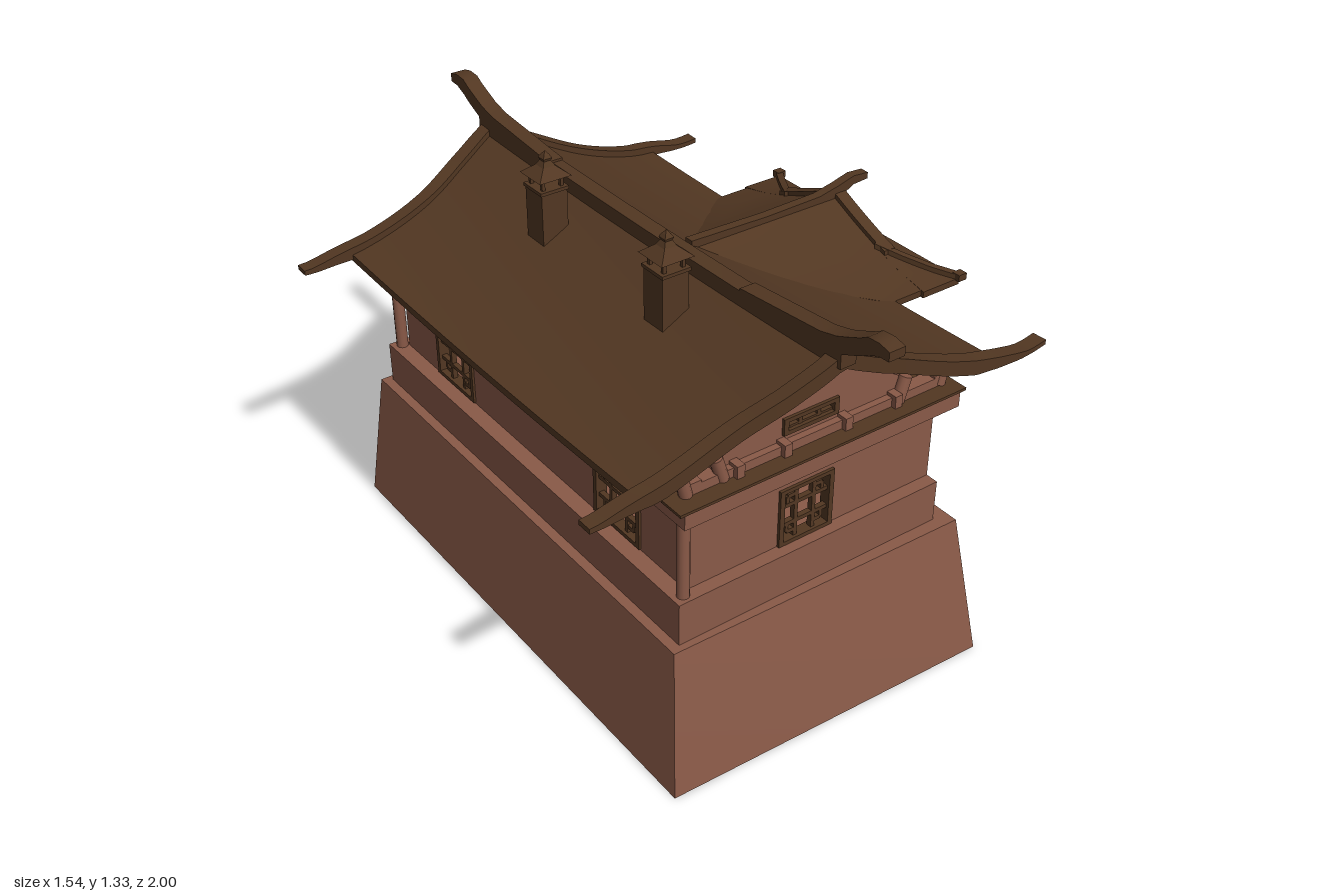
import * as THREE from 'three';
import { toCreasedNormals } from 'three/addons/utils/BufferGeometryUtils.js';

const plaster = new THREE.MeshStandardMaterial({ color: 0x8a5a48, side: THREE.DoubleSide });
plaster.name = 'clay brown';
const timber = new THREE.MeshStandardMaterial({ color: 0x523722, side: THREE.DoubleSide });
timber.name = 'dark roof brown';

const RIDGE = -0.07;
const lerp = THREE.MathUtils.lerp;

export function createModel() {
  const root = new THREE.Group();
  root.name = 'hall';

  function add(name, geo, mat, parent = root) {
    const m = new THREE.Mesh(geo, mat);
    m.name = name;
    parent.add(m);
    return m;
  }
  // Box given by its limits
  function block(name, x0, x1, y0, y1, z0, z1, mat, parent) {
    const m = add(name, new THREE.BoxGeometry(x1 - x0, y1 - y0, z1 - z0), mat, parent);
    m.position.set((x0 + x1) / 2, (y0 + y1) / 2, (z0 + z1) / 2);
    return m;
  }
  function post(name, x, z, y0, y1, r, mat) {
    const m = add(name, new THREE.CylinderGeometry(r, r, y1 - y0, 12), mat);
    m.position.set(x, (y0 + y1) / 2, z);
    return m;
  }
  // Skin over a list of equal rings, capped at both ends when asked
  function loft(rings, caps = true) {
    const n = rings[0].length, idx = [];
    for (let i = 0; i < rings.length - 1; i++) for (let j = 0; j < n; j++) {
      const a = i * n + j, b = i * n + (j + 1) % n;
      idx.push(a, b, a + n, b, b + n, a + n);
    }
    if (caps) for (const s of [0, (rings.length - 1) * n]) {
      for (let j = 0; j < n / 2 - 1; j++) {
        const a = s + j, b = s + j + 1, c = s + n - 2 - j, d = s + n - 1 - j;
        if (s) idx.push(a, b, d, b, c, d); else idx.push(a, d, b, b, d, c);
      }
    }
    const g = new THREE.BufferGeometry();
    g.setAttribute('position', new THREE.Float32BufferAttribute(rings.flat(2), 3));
    g.setIndex(idx);
    return toCreasedNormals(g, 0.5);
  }
  // Upright rectangular section carried along a path of [x, y, z, height]
  function sweep(path, w) {
    return loft(path.map(([x, y, z, h], i) => {
      const p = path[Math.max(i - 1, 0)], q = path[Math.min(i + 1, path.length - 1)];
      const dx = q[0] - p[0], dz = q[2] - p[2], l = Math.hypot(dx, dz) || 1;
      const sx = -dz / l * w / 2, sz = dx / l * w / 2;
      return [[x + sx, y + h / 2, z + sz], [x - sx, y + h / 2, z - sz],
        [x - sx, y - h / 2, z - sz], [x + sx, y - h / 2, z + sz]];
    }));
  }
  // Thin upright wall with rectangular openings [x, y, w, h]
  function pierced(outline, holes, depth = 0.02) {
    const s = new THREE.Shape(outline.map(p => new THREE.Vector2(...p)));
    for (const [x, y, w, h] of holes) {
      s.holes.push(new THREE.Path([[-1, -1], [-1, 1], [1, 1], [1, -1]]
        .map(([a, b]) => new THREE.Vector2(x + a * w / 2, y + b * h / 2))));
    }
    return new THREE.ExtrudeGeometry(s, { depth, bevelEnabled: false }).translate(0, 0, -depth / 2);
  }
  const rect = (a, b, c, d) => [[a, c], [b, c], [b, d], [a, d]];

  // Battered stone base with porch spur, open underneath
  const plan = (x0, x1, x2, z0, z1, zp, y) => [[x0, y, z0], [x1, y, z1], [x1, y, zp], [x2, y, zp],
    [x2, y, -zp], [x1, y, -zp], [x1, y, -z1], [x0, y, -z0]];
  add('stoneBase', loft([plan(-0.58, 0.47, 0.67, 0.84, 0.88, 0.26, 0),
    plan(-0.54, 0.42, 0.615, 0.78, 0.8, 0.235, 0.44)], false), plaster);
  const top = new THREE.Shape(plan(-0.54, 0.42, 0.615, 0.78, 0.8, 0.235, 0).map(p => new THREE.Vector2(p[0], p[2])));
  add('baseTop', new THREE.ShapeGeometry(top).rotateX(-Math.PI / 2).translate(0, 0.44, 0), plaster);
  block('plinth', -0.51, 0.37, 0.44, 0.57, -0.76, 0.76, plaster);

  // Lattice window centred on its own origin, facing z
  function lattice(name, w, h, n) {
    const g = new THREE.Group();
    g.name = name;
    add('frame', pierced(rect(-w / 2, w / 2, -h / 2, h / 2), [[0, 0, w - 0.03, h - 0.024]], 0.034), timber, g);
    for (const s of [-1, 1]) {
      const a = s * w / 6, b = s * h / 6;
      block('upright', a - 0.006, a + 0.006, -h / 2, h / 2, -0.008, 0.008, timber, g);
      block('crossbar', -w / 2, w / 2, b - n, b + n, -0.008, 0.008, timber, g);
      for (const t of [-1, 1]) {
        const c = s * w * 0.32, d = t * h * 0.32;
        block('fretVertical', c - 0.005, c + 0.005, Math.min(d, d * 0.5), Math.max(d, d * 0.5), -0.007, 0.007, timber, g);
        block('fretHorizontal', Math.min(c, c * 0.5), Math.max(c, c * 0.5), d - n, d + n, -0.007, 0.007, timber, g);
      }
    }
    root.add(g);
    return g;
  }

  // End walls with gables, side walls, windows
  for (const s of [-1, 1]) {
    add('endWall', pierced(rect(-0.46, 0.37, 0.57, 0.875), [[-0.075, 0.66, 0.17, 0.17]]), plaster).position.z = s * 0.71;
    lattice('endWindow', 0.18, 0.18, 0.006).position.set(-0.075, 0.66, s * 0.712);
    add('gableWall', pierced([[-0.38, 0.905], [0.24, 0.905], [0.24, 0.945], [0.1, 1.03], [-0.07, 1.12], [-0.24, 1.03], [-0.38, 0.945]],
      [[-0.075, 0.95, 0.17, 0.044]]), plaster).position.z = s * 0.71;
    lattice('gableVent', 0.18, 0.05, 0.003).position.set(-0.075, 0.95, s * 0.712);
    block('gableTieBeam', -0.48, 0.37, 0.88, 0.908, s * 0.72 - 0.02, s * 0.72 + 0.02, plaster);
    for (const x of [-0.32, -0.17, 0.03, 0.2]) block('tieBeamBlock', x - 0.012, x + 0.012, 0.878, 0.918, s * 0.735 - 0.02, s * 0.735 + 0.02, plaster);

    const x = s < 0 ? -0.45 : 0.36;
    const side = add('sideWall', pierced(rect(-0.71, 0.71, 0.57, 0.875),
      [[-0.42, 0.662, 0.2, 0.164], [0.42, 0.662, 0.2, 0.164]]), plaster);
    side.rotation.y = Math.PI / 2;
    side.position.x = x;
    for (const t of [-1, 1]) {
      const win = lattice('sideWindow', 0.21, 0.175, 0.006);
      win.rotation.y = Math.PI / 2;
      win.position.set(x, 0.662, t * 0.42);
    }
    block('sideTieBeam', x - 0.02, x + 0.02, 0.885, 0.915, -0.74, 0.74, plaster);

    // Beam ring and dark cornice
    block('endBeam', -0.51, 0.4, 0.82, 0.873, s * 0.745 - 0.035, s * 0.745 + 0.035, plaster);
    block('endCornice', -0.53, 0.41, 0.873, 0.881, s * 0.75 - 0.04, s * 0.75 + 0.04, timber);
    const bx = s < 0 ? -0.475 : 0.365;
    block('sideBeam', bx - 0.035, bx + 0.035, 0.82, 0.873, -0.75, 0.75, plaster);
    block('sideCornice', bx - 0.045, bx + 0.045, 0.873, 0.881, -0.76, 0.76, timber);

    // Corner columns and leaning struts
    post('cornerColumn', -0.478, s * 0.732, 0.57, 0.88, 0.018, plaster);
    for (const [sx, lean] of [[-0.48, 0.25], [-0.37, 0.3], [0.23, -0.3], [0.375, -0.25]]) {
      post('roofStrut', sx, s * 0.73, 0.88, 0.955, 0.018, plaster).rotation.z = lean;
    }
  }

  // Sweeping main roof
  const roofY = x => 0.922 + 0.233 * Math.pow(Math.max(0, 1 - Math.abs(x - RIDGE) / 0.58), 1.5);
  const vergePath = new THREE.CatmullRomCurve3([[-0.77, 0.74], [-0.6, 0.74], [-0.35, 0.748], [-0.2, 0.785], [-0.07, 0.808],
    [0.06, 0.79], [0.2, 0.768], [0.4, 0.782], [0.52, 0.795], [0.68, 0.787]].map(p => new THREE.Vector3(p[0], 0, p[1])));
  const verge = vergePath.getPoints(60);
  const vergeZ = x => verge.reduce((a, b) => Math.abs(b.x - x) < Math.abs(a.x - x) ? b : a).z;
  const steps = [-1, -0.75, -0.5, -0.25, 0, 0.25, 0.5, 0.75, 1];
  const slab = (x, pts, t) => [...pts.map(([y, z]) => [x, y, z]), ...pts.map(([y, z]) => [x, y - t, z]).reverse()];
  const roofXs = [];
  for (let i = 0; i <= 12; i++) roofXs.push(lerp(-0.615, RIDGE, i / 12));
  for (let i = 1; i <= 12; i++) roofXs.push(lerp(RIDGE, 0.51, i / 12));
  add('mainRoof', loft(roofXs.map(x => slab(x, steps.map(t => [roofY(x) + 0.014 * t * t, t * vergeZ(x)]), 0.022))), timber);

  // Curved verge boards with upturned tails, and the main ridge
  for (const s of [-1, 1]) {
    add('vergeBoard', sweep(verge.map(p => {
      const tail = Math.max(0, Math.abs(p.x - RIDGE) - 0.5);
      return [p.x, roofY(p.x) + 0.012 + 0.006 * Math.sin(tail * 25), s * p.z, 0.045 - Math.min(0.03, tail * 0.16)];
    }), 0.045), timber);
    add('ridgeEnd', sweep([[0.45, 1.188, 0.018], [0.6, 1.198, 0.025], [0.76, 1.205, 0.04], [0.82, 1.215, 0.05], [0.86, 1.232, 0.05],
      [0.9, 1.25, 0.05], [0.925, 1.265, 0.05], [0.965, 1.275, 0.036], [1, 1.272, 0.026]].map(([z, y, h]) => [RIDGE, y, s * z, h])), timber)
      .geometry = sweep([[0.45, 1.188, 0.018], [0.6, 1.198, 0.025], [0.76, 1.205, 0.04], [0.82, 1.215, 0.05], [0.86, 1.232, 0.05],
        [0.9, 1.25, 0.05], [0.925, 1.265, 0.05], [0.965, 1.275, 0.036], [1, 1.272, 0.026]].map(([z, y, h]) => [RIDGE, y, s * z, h]), 0.05);
  }
  add('mainRidge', sweep(steps.map(t => [RIDGE, 1.163 + 0.014 * t * t, t * 0.84, 0.045]), 0.05), timber);

  // Roof vents with lantern tops
  for (const s of [-1, 1]) {
    const g = new THREE.Group();
    g.name = 'roofVent';
    g.position.set(-0.205, 0, s * 0.285);
    root.add(g);
    block('shaft', -0.042, 0.042, 1.05, 1.222, -0.042, 0.042, timber, g);
    block('shaftRim', -0.046, 0.046, 1.216, 1.226, -0.046, 0.046, timber, g);
    for (const a of [-1, 1]) for (const b of [-1, 1]) {
      block('lanternPost', a * 0.03 - 0.005, a * 0.03 + 0.005, 1.22, 1.27, b * 0.03 - 0.005, b * 0.03 + 0.005, timber, g);
    }
    const cap = [[0.074, 1.258], [0.05, 1.272], [0.028, 1.285], [0.016, 1.3], [0.02, 1.308], [0.012, 1.318], [0.001, 1.328]];
    const geo = new THREE.LatheGeometry([[0.001, 1.258], ...cap].map(p => new THREE.Vector2(...p)), 4).toNonIndexed();
    geo.computeVertexNormals();
    add('lanternCap', geo.rotateY(Math.PI / 4), timber, g);
  }

  // Porch body, columns and doors
  block('porchBody', 0.365, 0.552, 0.44, 0.93, -0.185, 0.185, plaster);
  block('porchPlinth', 0.365, 0.565, 0.44, 0.57, -0.2, 0.2, plaster);
  block('porchBeam', 0.4, 0.57, 0.82, 0.875, -0.2, 0.2, plaster);
  block('porchTopBeam', 0.4, 0.6, 0.88, 0.915, -0.215, 0.215, plaster);
  for (const s of [-1, 1]) {
    post('porchColumn', 0.59, s * 0.208, 0.44, 0.94, 0.02, plaster);
    post('innerColumn', 0.386, s * 0.208, 0.44, 0.94, 0.02, plaster);
    post('doorPost', 0.565, s * 0.163, 0.44, 0.92, 0.017, plaster);
    block('doorLeaf', 0.55, 0.57, 0.44, 0.88, s * 0.074 - 0.071, s * 0.074 + 0.071, plaster);
    const fret = add('doorFret', pierced(rect(-0.057, 0.057, 0.62, 0.82),
      [[0, 0.72, 0.098, 0.184]], 0.008), plaster);
    fret.rotation.y = Math.PI / 2;
    fret.position.set(0.573, 0, s * 0.075);
    const inner = add('doorInnerFret', pierced(rect(-0.036, 0.036, 0.65, 0.79), [[0, 0.72, 0.056, 0.124]], 0.008), plaster);
    inner.rotation.y = Math.PI / 2;
    inner.position.set(0.573, 0, s * 0.075);
    for (const y of [0.635, 0.805]) block('doorFretBar', 0.569, 0.577, y - 0.016, y + 0.016, s * 0.075 - 0.005, s * 0.075 + 0.005, plaster);
  }

  // Porch roof: gable above a front skirt, meeting the main roof in two valleys
  const porchY = z => 0.925 + 0.142 * Math.pow(Math.max(0, 1 - Math.abs(z) / 0.41), 1.4);
  const rings = [0.06, 0.17, 0.28, 0.39, 0.495, 0.61].map(x => {
    const w = Math.min(0.4, Math.max(0.01, (x - 0.045) * 0.9));
    return slab(x, steps.map(t => [porchY(t * w), t * w]), 0.02);
  });
  for (let i = 0; i <= 4; i++) {
    const k = i / 4, x = lerp(0.61, 0.75, k), hip = lerp(0.2, 0.409, k);
    rings.push(slab(x, steps.map(t => {
      const z = Math.abs(t) > 0.5 ? Math.sign(t) * lerp(hip, 0.41, Math.abs(t) * 2 - 1) : t * 2 * hip;
      return [porchY(Math.max(Math.abs(z), hip)), z];
    }), 0.02));
  }
  add('porchRoof', loft(rings), timber);
  add('porchRidge', sweep([[0.08, 1.07, 0, 0.03], [0.35, 1.064, 0, 0.03], [0.55, 1.066, 0, 0.035], [0.62, 1.078, 0, 0.04],
    [0.655, 1.09, 0, 0.035], [0.68, 1.1, 0, 0.028], [0.735, 1.1, 0, 0.02]], 0.03), timber);
  block('gablePost', 0.61, 0.622, 0.95, 1.065, -0.006, 0.006, timber);
  for (const y of [0.985, 1.015]) {
    const w = (1.06 - y) * 1.9;
    block('gableBar', 0.61, 0.62, y - 0.004, y + 0.004, -w, w, timber);
  }
  for (const s of [-1, 1]) {
    const edge = [0, 0.05, 0.1, 0.15, 0.2, 0.24].map(z => [0.63, porchY(z) + 0.002, s * z, 0.026]);
    add('porchVerge', sweep(edge, 0.04), timber);
    add('porchHip', sweep([0.2, 0.27, 0.34, 0.41].map(z => [lerp(0.61, 0.75, (z - 0.2) / 0.21), porchY(z) + 0.006, s * z, 0.016]), 0.022), timber);
    block('cornerKnob', 0.735, 0.765, 0.922, 0.943, s * 0.41 - 0.014, s * 0.41 + 0.014, timber);
  }
  return root;
}
